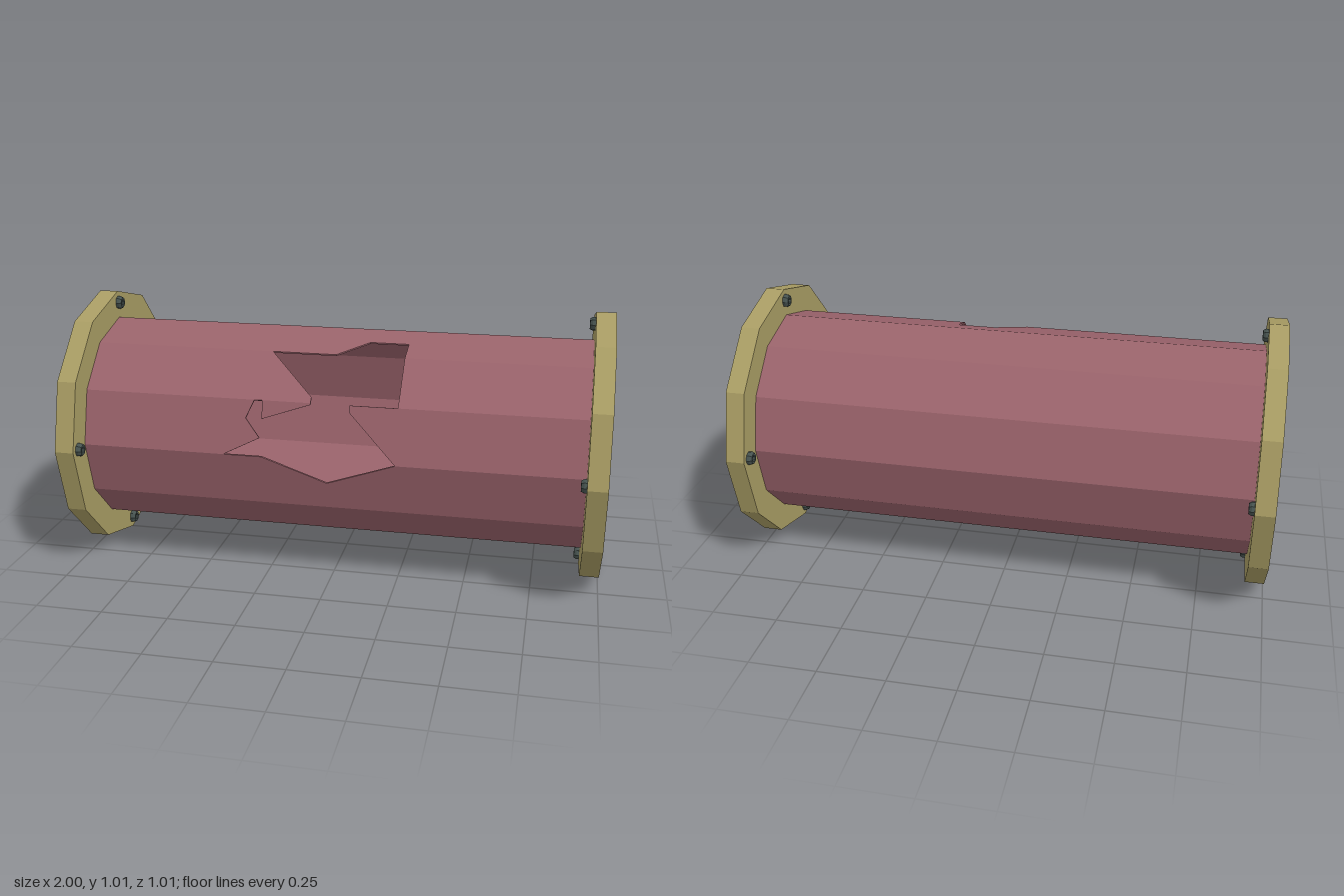
import * as THREE from 'three';

const SIDES = 12, R = 0.4, CAP_R = 0.505, WALL = 0.006, L = 1.0005;
const STEP = (Math.PI * 2) / SIDES;

const wallMat = new THREE.MeshStandardMaterial({ color: 0x9a636b, side: THREE.DoubleSide });
const capMat = new THREE.MeshStandardMaterial({ color: 0xa99d64, flatShading: true });
const boltMat = new THREE.MeshStandardMaterial({ color: 0x46524f, flatShading: true, side: THREE.DoubleSide });

// Outlines of the torn wall panels: [x, t], t runs 0..1 across a panel.
const whole = [[[-L, 0], [L, 0], [L, 1], [-L, 1]]];
const torn = {
  // below the front edge
  [-1]: [[[-L, 0], [L, 0], [L, 1], [0.255, 1], [0, 0.525], [-0.24, 1], [-L, 1]]],
  // just above the front edge: left part, hanging shard, right part
  0: [
    [[-L, 0], [-0.385, 0], [-0.25, 0.33], [-0.305, 0.67], [-0.275, 1], [-L, 1]],
    [[-0.245, 0.67], [-0.065, 0.97], [-0.065, 1], [-0.245, 1]],
    [[0.255, 0], [L, 0], [L, 1], [0.08, 1], [0.08, 0.87]],
  ],
  // sloping upper panel
  1: [
    [[-L, 0], [-0.065, 0], [-0.065, 0.12], [-0.24, 1], [-L, 1]],
    [[0.255, 0], [L, 0], [L, 1], [0.255, 1]],
  ],
  // panel next to the top edge
  2: [[[-L, 0], [0, 0], [0.11, 0.5], [0.255, 0.5], [0.255, 0], [L, 0], [L, 1], [-L, 1]]],
};

// One flat side of the tube, extruded inward to the wall thickness
function wallPanel(i) {
  const width = 2 * R * Math.sin(STEP / 2);
  const shapes = (torn[i] || whole).map(
    (pts) => new THREE.Shape(pts.map(([x, t]) => new THREE.Vector2(x, (t - 0.5) * width))));
  const geo = new THREE.ExtrudeGeometry(shapes, { depth: WALL, bevelEnabled: false });
  geo.translate(0, 0, R * Math.cos(STEP / 2) - WALL);
  geo.rotateX(-(i + 0.5) * STEP);
  const mesh = new THREE.Mesh(geo, wallMat);
  mesh.name = 'tubePanel';
  return mesh;
}

// Small bolt head with a recessed socket, pointing along +y
function boltGeometry() {
  const profile = [[0.026, -0.005], [0.026, 0.01], [0.02, 0.02], [0.012, 0.02], [0.009, 0.008], [0, 0.008]];
  return new THREE.LatheGeometry(profile.map(([x, y]) => new THREE.Vector2(x, y)), 8);
}

// End cap with four bolts on its inner face
function endCap(side) {
  const cap = new THREE.Group();
  cap.name = side > 0 ? 'leftEnd' : 'rightEnd';
  const disc = new THREE.Mesh(new THREE.CylinderGeometry(CAP_R, CAP_R, 0.072, SIDES), capMat);
  disc.rotation.z = Math.PI / 2;
  disc.position.x = side * 0.964;
  disc.name = 'endCap';
  cap.add(disc);
  const geo = boltGeometry();
  for (let k = 0; k < 4; k++) {
    const a = (k * Math.PI) / 2;
    const bolt = new THREE.Mesh(geo, boltMat);
    bolt.rotation.z = (side * Math.PI) / 2;
    bolt.position.set(side * 0.928, Math.sin(a) * 0.46, Math.cos(a) * 0.46);
    bolt.name = 'bolt';
    cap.add(bolt);
  }
  return cap;
}

export function createModel() {
  const model = new THREE.Group();
  model.name = 'brokenCanister';
  const tube = new THREE.Group();
  tube.name = 'tube';
  for (let i = -1; i < SIDES - 1; i++) tube.add(wallPanel(i));
  const body = new THREE.Group();
  body.name = 'body';
  body.add(tube, endCap(1), endCap(-1));
  body.position.y = CAP_R;
  model.add(body);
  return model;
}
